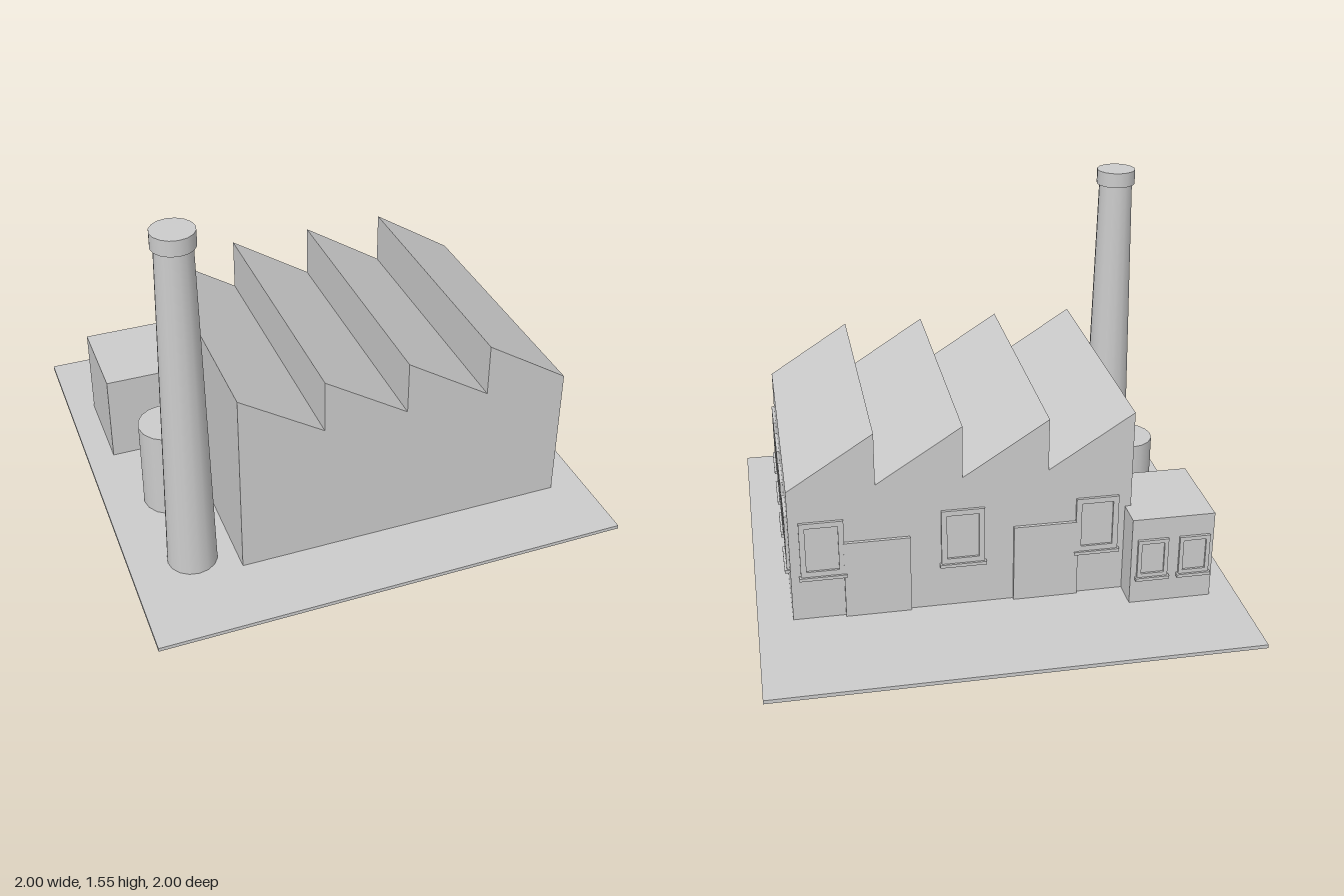
import * as THREE from 'three';

export function createModel() {
  const model = new THREE.Group();
  model.name = 'factory';
  const grey = new THREE.MeshStandardMaterial({ color: 0xcccccc });
  grey.name = 'plain grey';
  const ground = 0.016;

  const add = (name, geometry, x, y, z, parent = model) => {
    const mesh = new THREE.Mesh(geometry, grey);
    mesh.name = name;
    mesh.position.set(x, y, z);
    parent.add(mesh);
    return mesh;
  };
  const box = (name, x0, x1, y0, y1, z0, z1, parent) =>
    add(name, new THREE.BoxGeometry(x1 - x0, y1 - y0, z1 - z0),
      (x0 + x1) / 2, (y0 + y1) / 2, (z0 + z1) / 2, parent);
  const cylinder = (name, rTop, rBottom, y0, y1, x, z) =>
    add(name, new THREE.CylinderGeometry(rTop, rBottom, y1 - y0, 16), x, (y0 + y1) / 2, z);

  // Base slab
  box('groundSlab', -1, 1, 0, ground, -1, 1);

  // Main hall: sawtooth profile pulled from back to front
  const left = -0.56, right = 0.855, back = -0.485, front = 0.68;
  const valley = 0.61, peak = 0.838, teeth = 4;
  const step = (right - left) / teeth;
  const profile = new THREE.Shape();
  profile.moveTo(left, ground);
  profile.lineTo(right, ground);
  for (let i = teeth - 1; i >= 0; i--) {
    profile.lineTo(left + step * (i + 1), valley);
    profile.lineTo(left + step * i, peak);
  }
  profile.closePath();
  add('mainHall', new THREE.ExtrudeGeometry(profile, { depth: front - back, bevelEnabled: false }), 0, 0, back);

  // Side annex
  const annexBack = -0.608;
  box('annex', -0.885, -0.535, ground, 0.41, annexBack, -0.21);

  // Tank and tapered chimney with collar
  cylinder('tank', 0.123, 0.123, ground, 0.41, -0.712, 0.15);
  cylinder('chimneyShaft', 0.074, 0.104, ground, 1.5, -0.738, 0.557);
  cylinder('chimneyCollar', 0.086, 0.086, 1.485, 1.55, -0.738, 0.557);

  // Window facing local +z: raised frame, thin pane and a projecting sill
  function addWindow(name, width, height, x, y, z, turn) {
    const win = new THREE.Group();
    win.name = name;
    win.position.set(x, y, z);
    win.rotation.y = turn;
    const w = width / 2, bar = width * 0.13, depth = 0.012;
    const outline = new THREE.Shape();
    outline.moveTo(-w, 0).lineTo(w, 0).lineTo(w, height).lineTo(-w, height).closePath();
    const hole = new THREE.Path();
    hole.moveTo(-w + bar, bar).lineTo(-w + bar, height - bar)
      .lineTo(w - bar, height - bar).lineTo(w - bar, bar).closePath();
    outline.holes.push(hole);
    add('windowFrame', new THREE.ExtrudeGeometry(outline, { depth, bevelEnabled: false }), 0, 0, 0, win);
    box('windowPane', -w + bar, w - bar, bar, height - bar, 0, 0.003, win);
    box('windowSill', -w - 0.007, w + 0.007, -0.014, 0, 0, 0.021, win);
    model.add(win);
  }

  // Four windows along the +x wall
  for (let i = 0; i < 4; i++) {
    addWindow('sideWindow', 0.18, 0.247, right, 0.22, 0.538 - i * 0.29, Math.PI / 2);
  }
  // Back wall windows
  for (const x of [-0.416, 0.148, 0.724]) addWindow('backWindow', 0.18, 0.247, x, 0.22, back, Math.PI);
  // Annex windows
  for (const x of [-0.803, -0.625]) addWindow('annexWindow', 0.13, 0.173, x, 0.142, annexBack, Math.PI);

  // Back doors
  for (const x of [-0.2, 0.502]) {
    box('backDoor', x - 0.136, x + 0.136, ground, 0.362, back - 0.014, back);
  }

  return model;
}
